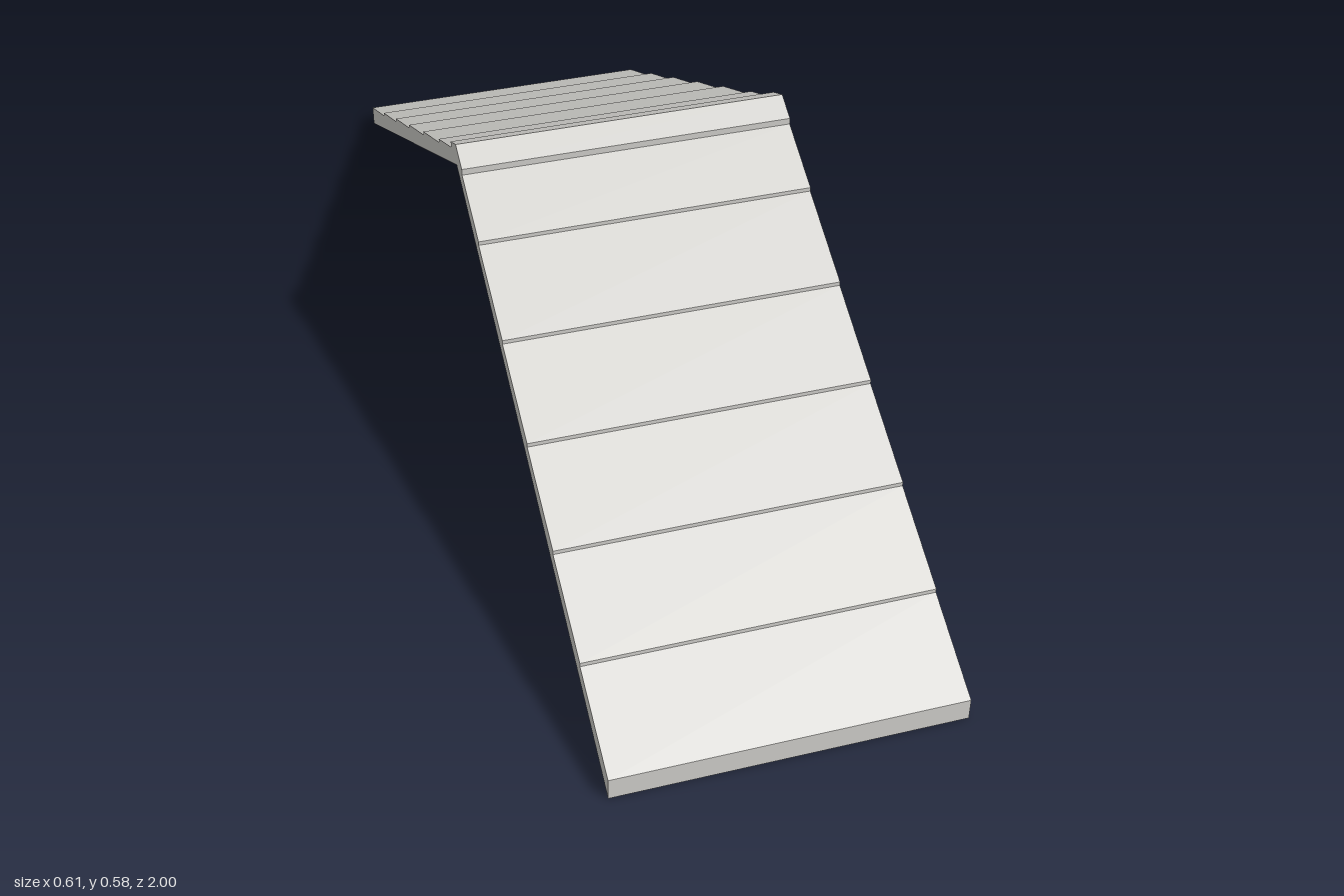
import * as THREE from 'three';

const WIDTH = 0.606, COURSES = 6, RIDGE = 0.046;
const EAVE_Y = 0.042, COURSE_RISE = 0.0893, LIP = 0.0075;

// Upper edge of one slope, from the eave up to the ridge cap: [distance from ridge, height]
function slopeEdge() {
  const pts = [[1, 0], [1, EAVE_Y]];
  for (let i = 1; i < COURSES; i++) {
    const d = 1 - i / COURSES;
    const y = EAVE_Y + i * COURSE_RISE;
    pts.push([d, y - LIP], [d, y]); // small lip where each course overlaps the one below
  }
  pts.push([RIDGE, 0.548], [RIDGE, 0.56]); // raised edge of the ridge cap
  return pts;
}

export function createModel() {
  const model = new THREE.Group();
  model.name = 'gableRoof';

  const paleGrey = new THREE.MeshStandardMaterial({ color: 0xd0cfcb });
  paleGrey.name = 'paleGrey';

  // Mirrored cross-section with a hollow underside
  const edge = slopeEdge();
  const outline = [
    ...edge,
    [0, 0.583],
    ...edge.map(([d, y]) => [-d, y]).reverse(),
    [0, 0.54],
  ].map(([d, y]) => new THREE.Vector2(d, y));

  const geometry = new THREE.ExtrudeGeometry(new THREE.Shape(outline), {
    depth: WIDTH, bevelEnabled: false,
  });
  geometry.translate(0, 0, -WIDTH / 2);
  geometry.rotateY(Math.PI / 2);

  const roof = new THREE.Mesh(geometry, paleGrey);
  roof.name = 'steppedRoofSlopes';
  model.add(roof);
  return model;
}
